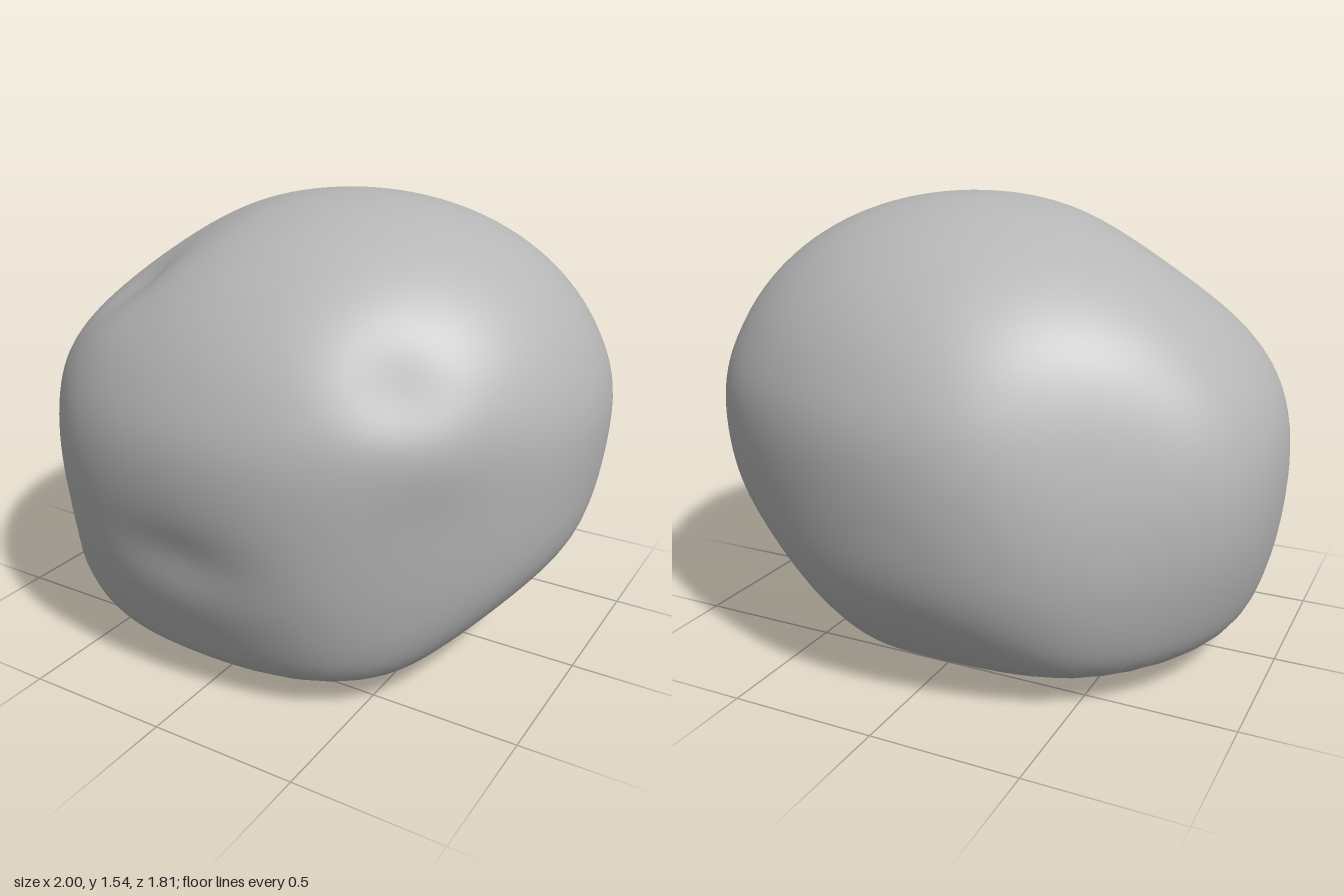
import * as THREE from 'three';
import { mergeVertices } from 'three/addons/utils/BufferGeometryUtils.js';

const CORE_HEIGHT = 0.75;

// Broad worn faces: normal and distance from the boulder's core
const FACETS = [
  [0.62, -0.65, -0.44, 0.87],  // undercut at the left rear
  [0.7, -0.7, 0.05, 0.915],    // undercut at the left
  [0.7, -0.08, 0.7, 0.96],     // left front side
  [0, -0.29, 0.96, 0.915],     // lower front
  [0, -0.64, -0.77, 0.935],    // lower back
  [-0.59, 0.23, -0.77, 0.885], // flat patch at the right rear
  [-0.8, 0, 0.6, 0.962],       // right front side
  [-0.5, 0.82, 0.28, 0.775],   // sloping shoulder
].map(([x, y, z, h]) => ({ n: new THREE.Vector3(x, y, z).normalize(), h }));

// Dents (negative) and lumps (positive): centre, spread in x, y, z, depth
const DENTS = [
  [-0.45, 1.23, 0.42, 0.16, 0.14, 0.13, -0.03],
  [-0.42, 1.08, 0.66, 0.2, 0.15, 0.15, 0.01],
  [0.58, 1.08, 0.57, 0.14, 0.13, 0.14, -0.035],
  [0.7, 0.92, 0.56, 0.16, 0.13, 0.16, 0.015],
  [-0.71, 0.46, 0.58, 0.12, 0.15, 0.16, -0.035],
  [-0.72, 0.28, 0.55, 0.14, 0.12, 0.18, 0.012],
  [0, 0.53, 0.88, 0.22, 0.1, 0.2, -0.016],
  [0, 0.36, 0.83, 0.28, 0.13, 0.2, 0.01],
  [0.86, 0.4, -0.42, 0.14, 0.11, 0.13, -0.035],
  [0.8, 0.75, -0.52, 0.35, 0.4, 0.35, 0.03],
  [-0.9, 0.6, -0.38, 0.25, 0.35, 0.25, 0.025],
];

// Distance from the core to the surface along direction d
function radius(d) {
  const up = THREE.MathUtils.smoothstep(d.y, -0.35, 0.35);
  const height = THREE.MathUtils.lerp(1.3, 0.793, up);
  const lean = 0.09 * (d.y + Math.sqrt(d.y * d.y + 0.03) - 0.1);
  const body = Math.hypot((d.x - lean) / 0.995, d.y / height, d.z / 0.91);
  const p = 24;
  let sum = body ** p;
  // Gently domed underside
  if (d.y < 0) sum += Math.hypot(d.x / 1.68, d.y / CORE_HEIGHT, d.z / 1.68) ** p;
  for (const { n, h } of FACETS) sum += (Math.max(0, n.dot(d)) / h) ** p;
  return sum ** (-1 / p);
}

function boulderGeometry() {
  let geo = new THREE.IcosahedronGeometry(1, 24);
  geo.deleteAttribute('uv');
  geo.deleteAttribute('normal');
  geo = mergeVertices(geo, 1e-4);
  const pos = geo.attributes.position;
  const d = new THREE.Vector3();
  const v = new THREE.Vector3();
  for (let i = 0; i < pos.count; i++) {
    d.fromBufferAttribute(pos, i).normalize();
    v.copy(d).multiplyScalar(radius(d));
    v.y += CORE_HEIGHT;
    let push = 0;
    for (const [x, y, z, sx, sy, sz, a] of DENTS) {
      push += a * Math.exp(-(((v.x - x) / sx) ** 2 + ((v.y - y) / sy) ** 2 + ((v.z - z) / sz) ** 2));
    }
    v.addScaledVector(d, push);
    pos.setXYZ(i, v.x, v.y, v.z);
  }
  geo.computeVertexNormals();
  return geo;
}

export function createModel() {
  const stone = new THREE.MeshStandardMaterial({ color: 0xb6b6b6 });
  stone.name = 'grey stone';
  const boulder = new THREE.Mesh(boulderGeometry(), stone);
  boulder.name = 'boulder';
  const group = new THREE.Group();
  group.name = 'rock';
  group.add(boulder);
  return group;
}
